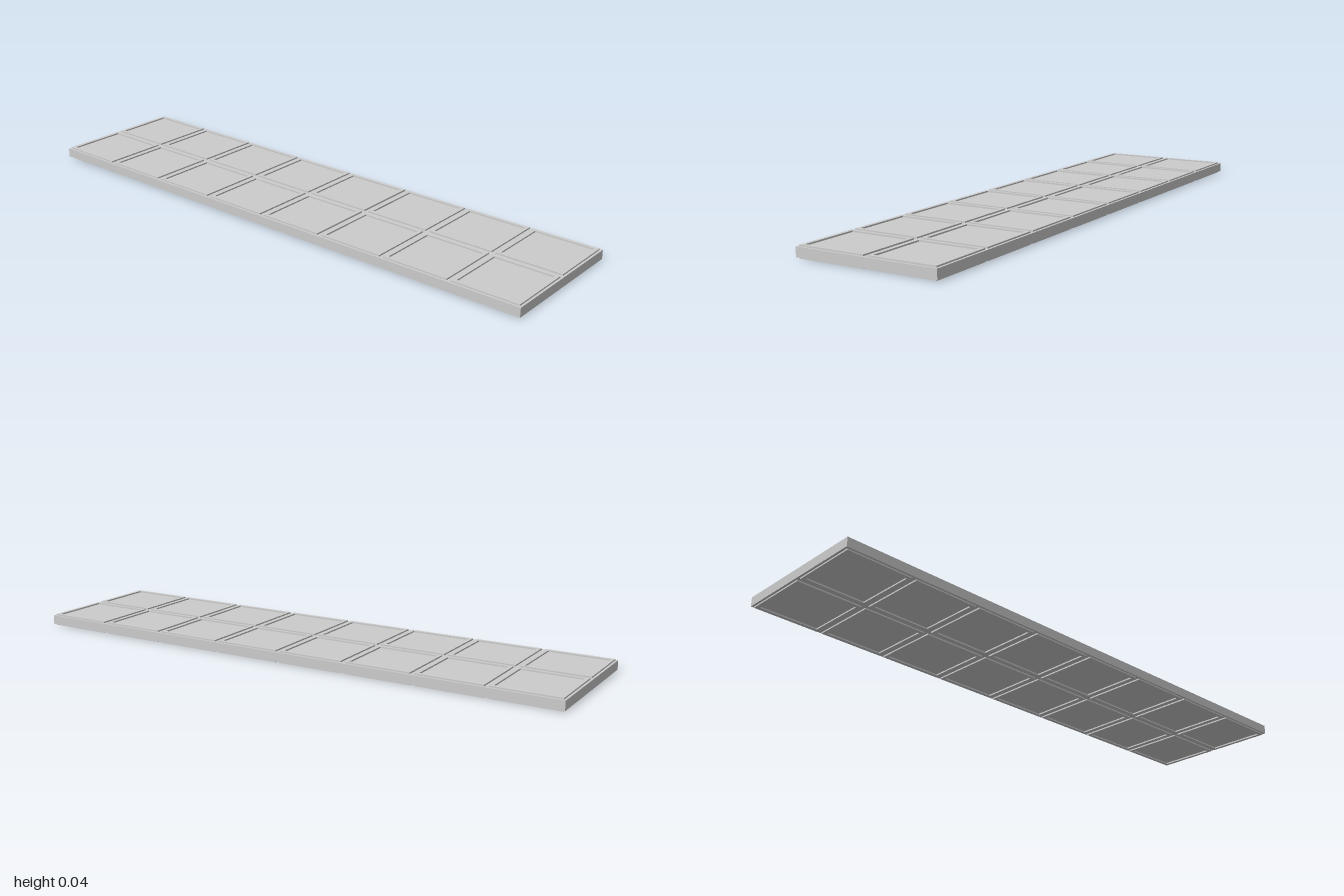
import * as THREE from 'three';

const LENGTH = 2, WIDTH = 0.5, CORE = 0.032, TRIM = 0.005;
const COLUMNS = 8, ROWS = 2, CELL = 0.25;
const OUTER_INSET = 0.0075, INNER_INSET = 0.02;

function square(path, half) {
  path.moveTo(-half, -half);
  path.lineTo(half, -half);
  path.lineTo(half, half);
  path.lineTo(-half, half);
  path.closePath();
  return path;
}

export function createModel() {
  const model = new THREE.Group();
  model.name = 'panelledBoard';
  const material = new THREE.MeshStandardMaterial({ color: 0xcccccc, flatShading: true });

  // Flat core board
  const core = new THREE.Mesh(new THREE.BoxGeometry(LENGTH, CORE, WIDTH), material);
  core.name = 'coreBoard';
  core.position.y = TRIM + CORE / 2;
  model.add(core);

  // Square moulding frame, lying flat with its base at y = 0
  const outline = square(new THREE.Shape(), CELL / 2 - OUTER_INSET);
  outline.holes.push(square(new THREE.Path(), CELL / 2 - INNER_INSET));
  const frame = new THREE.ExtrudeGeometry(outline, { depth: TRIM, bevelEnabled: false });
  frame.rotateX(-Math.PI / 2);

  // One frame around every panel, on both faces of the board
  for (const [side, y] of [['upper', TRIM + CORE], ['lower', 0]]) {
    const group = new THREE.Group();
    group.name = side + 'Mouldings';
    group.position.y = y;
    for (let c = 0; c < COLUMNS; c++) {
      for (let r = 0; r < ROWS; r++) {
        const mesh = new THREE.Mesh(frame, material);
        mesh.name = 'panelMoulding';
        mesh.position.set((c + 0.5) * CELL - LENGTH / 2, 0, (r + 0.5) * CELL - WIDTH / 2);
        group.add(mesh);
      }
    }
    model.add(group);
  }
  return model;
}
